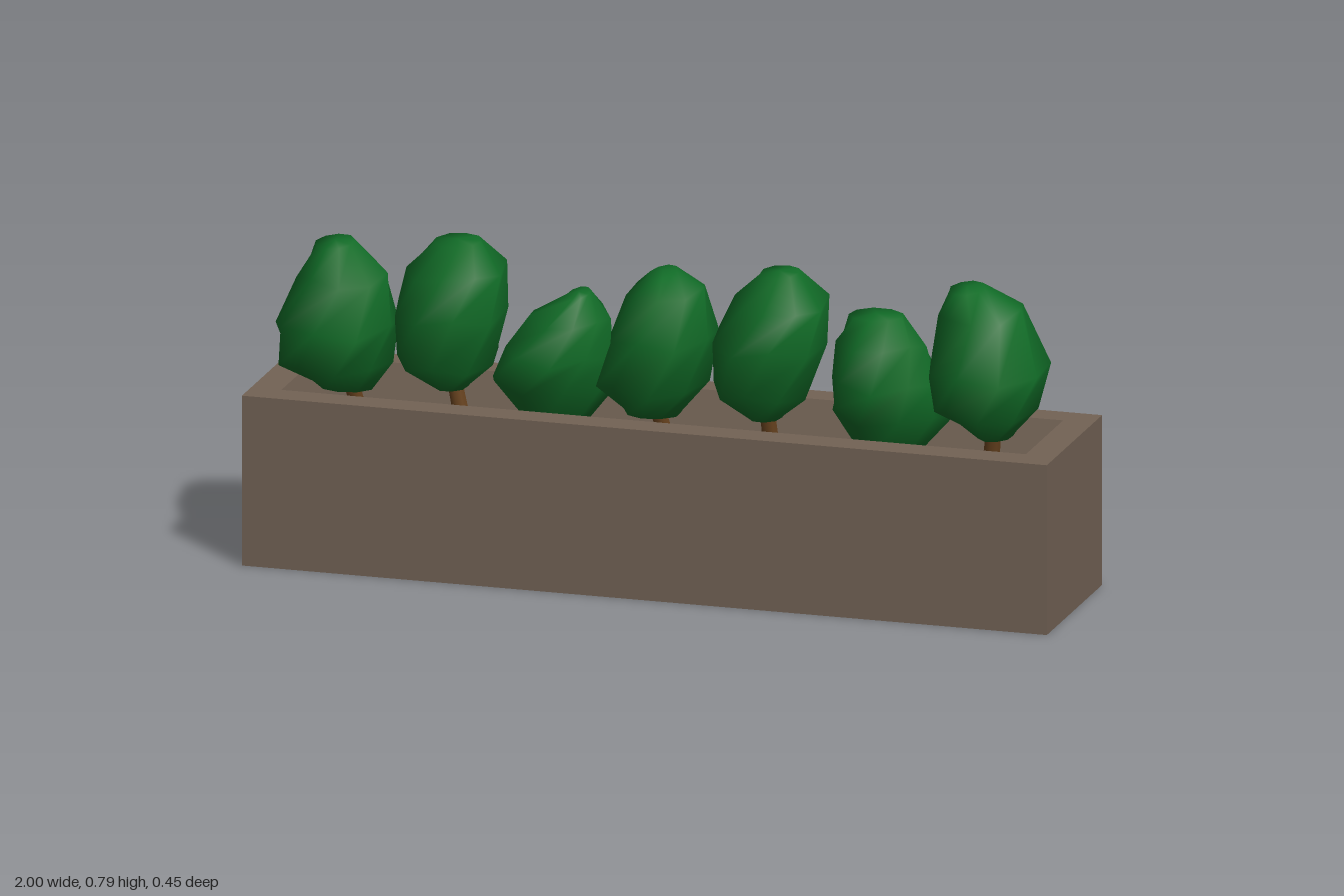
import * as THREE from 'three';

const wood = new THREE.MeshStandardMaterial({ name: 'planterBrown', color: 0x736355, side: THREE.DoubleSide });
const leaf = new THREE.MeshStandardMaterial({ name: 'leafGreen', color: 0x116b27 });
const bark = new THREE.MeshStandardMaterial({ name: 'barkBrown', color: 0x6b4520 });

const FRONT = 0.215, BACK = -0.23, TOP = 0.42, FLOOR = 0.32;

function addMesh(parent, name, geometry, material) {
  const mesh = new THREE.Mesh(geometry, material);
  mesh.name = name;
  parent.add(mesh);
  return mesh;
}

// Flat four-cornered panel, corners counter-clockwise from outside
function quad(a, b, c, d) {
  const g = new THREE.BufferGeometry();
  g.setAttribute('position', new THREE.Float32BufferAttribute([...a, ...b, ...c, ...d], 3));
  g.setIndex([0, 1, 2, 0, 2, 3]);
  g.computeVertexNormals();
  return g;
}

// Corners of a level rectangle, going round from the front
function rectangle(halfX, z0, z1, y) {
  return [[-halfX, y, z1], [halfX, y, z1], [halfX, y, z0], [-halfX, y, z0]];
}

function makePlanter() {
  const planter = new THREE.Group();
  planter.name = 'planter';

  // Outer walls: the back and the underside are open
  const low = rectangle(1, BACK, FRONT, 0), high = rectangle(1, BACK, FRONT, TOP);
  ['frontWall', 'leftWall', null, 'rightWall'].forEach((name, i) => {
    const j = (i + 1) % 4;
    if (name) addMesh(planter, name, quad(low[i], low[j], high[j], high[i]), wood);
  });

  // Flat rim around the tray opening
  const rim = new THREE.Shape([[-1, -FRONT], [1, -FRONT], [1, -BACK], [-1, -BACK]].map(p => new THREE.Vector2(...p)));
  rim.holes.push(new THREE.Path([[-0.925, -0.14], [-0.925, 0.16], [0.925, 0.16], [0.925, -0.14]].map(p => new THREE.Vector2(...p))));
  addMesh(planter, 'rim', new THREE.ShapeGeometry(rim).rotateX(-Math.PI / 2).translate(0, TOP, 0), wood);

  // Recessed tray with sloping sides
  const mouth = rectangle(0.925, -0.16, 0.14, TOP), base = rectangle(0.9, -0.135, 0.115, FLOOR);
  for (let i = 0; i < 4; i++) {
    const j = (i + 1) % 4;
    addMesh(planter, 'traySide', quad(base[j], base[i], mouth[i], mouth[j]), wood);
  }
  addMesh(planter, 'trayFloor', quad(...base), wood);
  return planter;
}

// Faceted crown: rings of [y, xMin, xMax] from the top down, with depth from z0 to z1
function crownGeometry(rings, z0, z1, seed) {
  const sides = 9, pos = [], idx = [];
  const depth = [0.42, 0.83, 1, 0.88, 0.35];
  const zMid = (z0 + z1) / 2, zHalf = (z1 - z0) / 2;
  rings.forEach(([y, x0, x1], r) => {
    for (let s = 0; s < sides; s++) {
      const a = (s + r * 0.5 + seed * 0.37) / sides * Math.PI * 2;
      const wobble = 1.02 + 0.025 * Math.sin(seed * 5 + s * 2.3 + r * 1.7);
      pos.push((x0 + x1) / 2 + Math.cos(a) * (x1 - x0) / 2 * wobble,
        y + (r > 0 && r < 4 ? 0.012 * Math.sin(seed * 3 + s * 1.9 + r) : 0),
        zMid + Math.sin(a) * zHalf * depth[r] * wobble);
    }
  });
  for (let r = 0; r < rings.length - 1; r++) {
    for (let s = 0; s < sides; s++) {
      const t = (s + 1) % sides, a = r * sides + s, b = r * sides + t;
      idx.push(a, b, b + sides, a, b + sides, a + sides);
    }
  }
  // Close the top and the bottom with fans
  [[0, 0.004], [rings.length - 1, -0.006]].forEach(([r, lift]) => {
    const centre = pos.length / 3, [y, x0, x1] = rings[r];
    pos.push((x0 + x1) / 2, y + lift, zMid);
    for (let s = 0; s < sides; s++) {
      const a = r * sides + s, b = r * sides + (s + 1) % sides;
      idx.push(centre, ...(r === 0 ? [b, a] : [a, b]));
    }
  });
  // Rings run clockwise seen from above, so turn each face outward
  for (let i = 0; i < idx.length; i += 3) [idx[i + 1], idx[i + 2]] = outward(pos, idx, i, rings, zMid);
  const g = new THREE.BufferGeometry();
  g.setAttribute('position', new THREE.Float32BufferAttribute(pos, 3));
  g.setIndex(idx);
  g.computeVertexNormals();
  return g;
}

// Order the last two corners so that the face points away from the crown centre
function outward(pos, idx, i, rings, zMid) {
  const [a, b, c] = [0, 1, 2].map(k => new THREE.Vector3().fromArray(pos, idx[i + k] * 3));
  const middle = new THREE.Vector3((rings[2][1] + rings[2][2]) / 2, (rings[0][0] + rings[4][0]) / 2, zMid);
  const normal = b.clone().sub(a).cross(c.clone().sub(a));
  const away = a.clone().add(b).add(c).divideScalar(3).sub(middle);
  return normal.dot(away) > 0 ? [idx[i + 1], idx[i + 2]] : [idx[i + 2], idx[i + 1]];
}

// Tapered trunk between two points
function trunkGeometry(from, to) {
  const dir = to.clone().sub(from);
  const g = new THREE.CylinderGeometry(0.018, 0.022, dir.length(), 8);
  g.applyQuaternion(new THREE.Quaternion().setFromUnitVectors(new THREE.Vector3(0, 1, 0), dir.normalize()));
  const mid = from.clone().add(to).multiplyScalar(0.5);
  return g.translate(mid.x, mid.y, mid.z);
}

const shrubs = [
  { x: -0.765, z: [-0.095, 0.22], rings: [[0.775, -0.86, -0.77], [0.70, -0.90, -0.69], [0.58, -0.955, -0.665], [0.48, -0.945, -0.68], [0.42, -0.85, -0.72]] },
  { x: -0.51, z: [-0.14, 0.175], rings: [[0.79, -0.58, -0.47], [0.72, -0.645, -0.41], [0.62, -0.675, -0.405], [0.50, -0.665, -0.43], [0.43, -0.58, -0.50]] },
  { x: -0.265, z: [-0.155, 0.12], rings: [[0.675, -0.26, -0.21], [0.62, -0.35, -0.165], [0.53, -0.41, -0.15], [0.45, -0.45, -0.155], [0.34, -0.35, -0.23]] },
  { x: 0, z: [-0.09, 0.22], rings: [[0.77, -0.03, 0.03], [0.73, -0.08, 0.10], [0.62, -0.125, 0.13], [0.50, -0.155, 0.11], [0.42, -0.09, 0.04]] },
  { x: 0.255, z: [-0.10, 0.20], rings: [[0.79, 0.24, 0.33], [0.72, 0.18, 0.40], [0.62, 0.125, 0.40], [0.50, 0.13, 0.36], [0.43, 0.21, 0.29]] },
  { x: 0.53, z: [-0.155, 0.12], rings: [[0.685, 0.44, 0.57], [0.62, 0.41, 0.62], [0.53, 0.40, 0.66], [0.45, 0.395, 0.685], [0.34, 0.47, 0.60]] },
  { x: 0.79, z: [-0.105, 0.20], rings: [[0.79, 0.71, 0.79], [0.74, 0.69, 0.885], [0.60, 0.66, 0.95], [0.50, 0.68, 0.925], [0.43, 0.78, 0.86]] },
];

export function createModel() {
  const model = new THREE.Group();
  model.name = 'shrubPlanter';
  model.add(makePlanter());

  shrubs.forEach(({ x, z, rings }, i) => {
    const shrub = new THREE.Group();
    shrub.name = 'shrub';
    addMesh(shrub, 'crown', crownGeometry(rings, z[0], z[1], i + 1), leaf);
    const bottom = rings[4];
    // Tall shrubs are rooted through the tray floor, low ones sit just above it
    const from = new THREE.Vector3(x, bottom[0] < 0.4 ? 0.322 : 0.3, 0);
    const to = new THREE.Vector3((bottom[1] + bottom[2]) / 2, bottom[0] + 0.05, (z[0] + z[1]) / 2);
    addMesh(shrub, 'trunk', trunkGeometry(from, to), bark);
    model.add(shrub);
  });
  return model;
}
